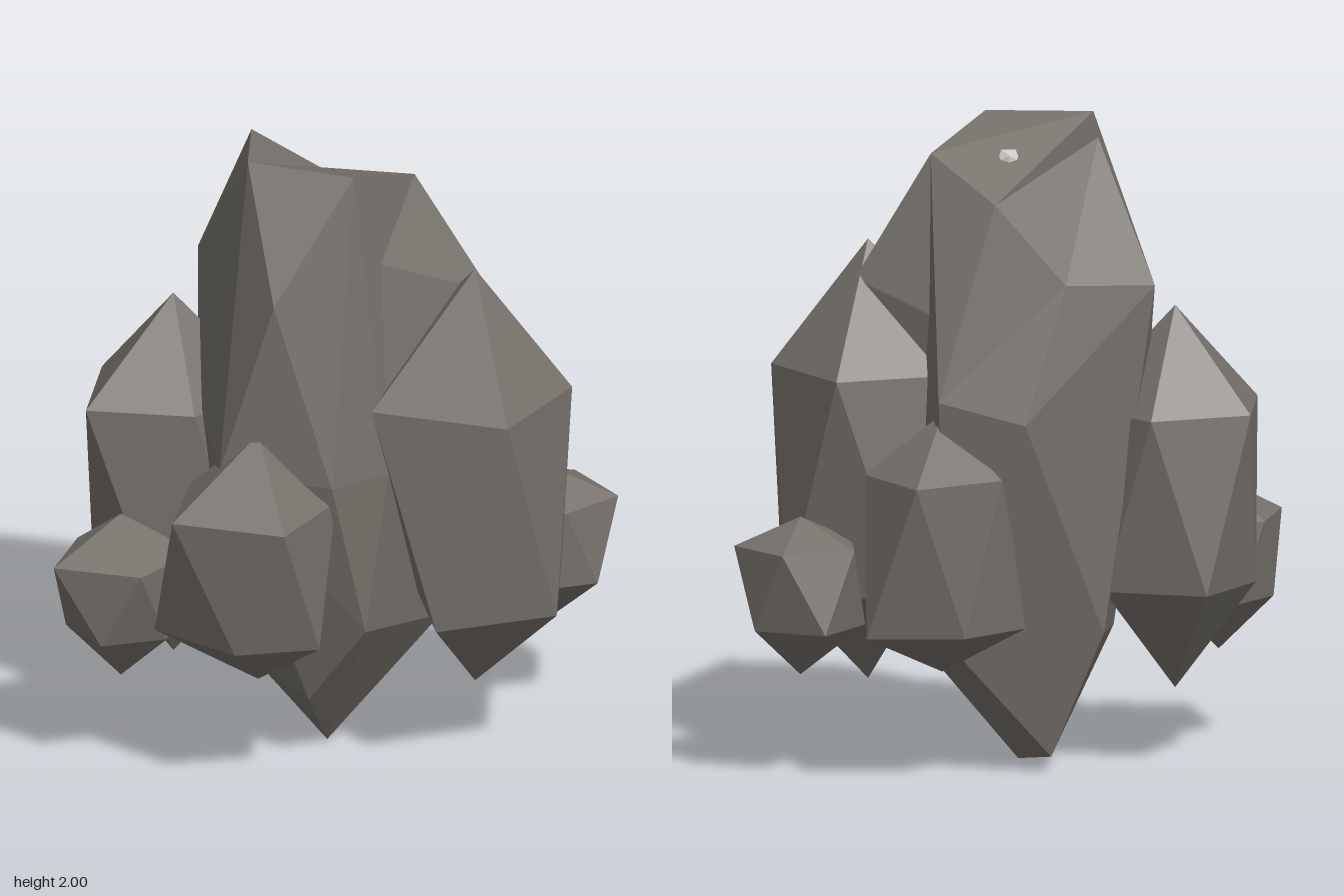
import * as THREE from 'three';
import { ConvexGeometry } from 'three/addons/geometries/ConvexGeometry.js';

const stone = new THREE.MeshStandardMaterial({ color: 0x75706a, flatShading: true });
const pale = new THREE.MeshStandardMaterial({ color: 0xcccccc, flatShading: true });

// Faceted stone wrapped around a few corner points
function hull(name, points) {
  const mesh = new THREE.Mesh(new ConvexGeometry(points.map((p) => new THREE.Vector3(...p))), stone);
  mesh.name = name;
  return mesh;
}

// Five corners around a centre, each with its own reach
function ring(x, z, y, reach, start) {
  return reach.map((r, i) => {
    const a = start + (i * 2 * Math.PI) / 5;
    return [x + r * Math.cos(a), y, z + r * Math.sin(a)];
  });
}

// Stretched twelve-cornered stone: two poles and two staggered, uneven rings
function boulder(name, [x, z], [top, high, low, bottom], upper, lower) {
  return hull(name, [
    [x, top, z],
    [x, bottom, z],
    ...ring(x, z, high, upper, 0),
    ...ring(x, z, low, lower, Math.PI / 5),
  ]);
}

export function createModel() {
  const group = new THREE.Group();
  group.name = 'rockCluster';

  // Tall central rock: corners of the slanted cap, then of the body down to the foot
  const capFront = [0.06, 1.99, 0.23];
  const capRight = [-0.27, 2, 0.14];
  const capBackRight = [-0.27, 1.975, -0.18];
  const capBack = [0.05, 1.77, -0.22];
  const capLeft = [0.24, 1.9, -0.02];
  const shoulder = [[-0.18, 1.62, 0.4], [-0.16, 1.55, -0.41], [-0.44, 1.53, -0.3]];
  const waist = [
    [-0.03, 1.13, -0.52], [-0.43, 1.15, -0.02], [-0.35, 1.05, 0.36],
    [0, 1.02, 0.41], [0.17, 1.02, 0.28], [0.235, 1.19, -0.435],
  ];
  const skirt = [[0.1, 0.5, 0.31], [-0.33, 0.4, 0.08], [-0.28, 0.45, -0.36], [0.2, 0.42, -0.38], [0.32, 0.42, -0.03]];
  const foot = [[-0.08, 0.22, 0.19], [-0.03, 0, -0.02], [-0.12, 0.05, -0.28]];
  const body = [...shoulder, ...waist, ...skirt, ...foot];

  // Two overlapping halves leave a crease across the cap, and a fin runs down the left side
  group.add(hull('centralRockFront', [capFront, capRight, capBack, capLeft, ...body]));
  group.add(hull('centralRockBack', [capRight, capBackRight, capBack, ...body]));
  group.add(hull('centralRockFin', [
    capLeft, [0.475, 1.51, -0.02], [0.4, 0.8, -0.02], [0.32, 0.42, -0.03],
    [0.2, 1.4, -0.2], [0.17, 1.02, 0.28], [0.1, 1.7, 0.2], [0, 1, 0],
  ]));

  // Smaller rocks around the base: centre, heights, then reach of the upper and lower corners
  group.add(
    boulder('largeLeftRock', [0.43, 0.065], [1.62, 1.23, 0.54, 0.24],
      [0.3, 0.365, 0.385, 0.38, 0.37], [0.32, 0.35, 0.18, 0.36, 0.32]),
    boulder('frontRock', [-0.23, 0.36], [1.18, 0.955, 0.52, 0.36],
      [0.24, 0.295, 0.32, 0.26, 0.27], [0.24, 0.21, 0.32, 0.25, 0.25]),
    boulder('smallRightRock', [-0.66, 0.2], [0.84, 0.715, 0.465, 0.3],
      [0.23, 0.225, 0.25, 0.17, 0.2], [0.18, 0.18, 0.17, 0.17, 0.18]),
    boulder('smallLeftRock', [0.655, -0.28], [0.81, 0.72, 0.47, 0.315],
      [0.205, 0.16, 0.2, 0.2, 0.21], [0.18, 0.19, 0.2, 0.22, 0.18]),
    boulder('rightRock', [-0.51, -0.14], [1.44, 1.12, 0.57, 0.24],
      [0.3, 0.24, 0.326, 0.28, 0.28], [0.28, 0.24, 0.25, 0.28, 0.28]),
    boulder('backRock', [0.22, -0.365], [1.145, 0.955, 0.47, 0.335],
      [0.24, 0.28, 0.25, 0.22, 0.3], [0.25, 0.25, 0.27, 0.2, 0.3])
  );

  // Little pale pebble half sunk in the cap
  const pebble = new THREE.Mesh(new THREE.IcosahedronGeometry(0.042, 0), pale);
  pebble.name = 'pebble';
  pebble.position.set(0, 1.875, -0.02);
  group.add(pebble);

  return group;
}
